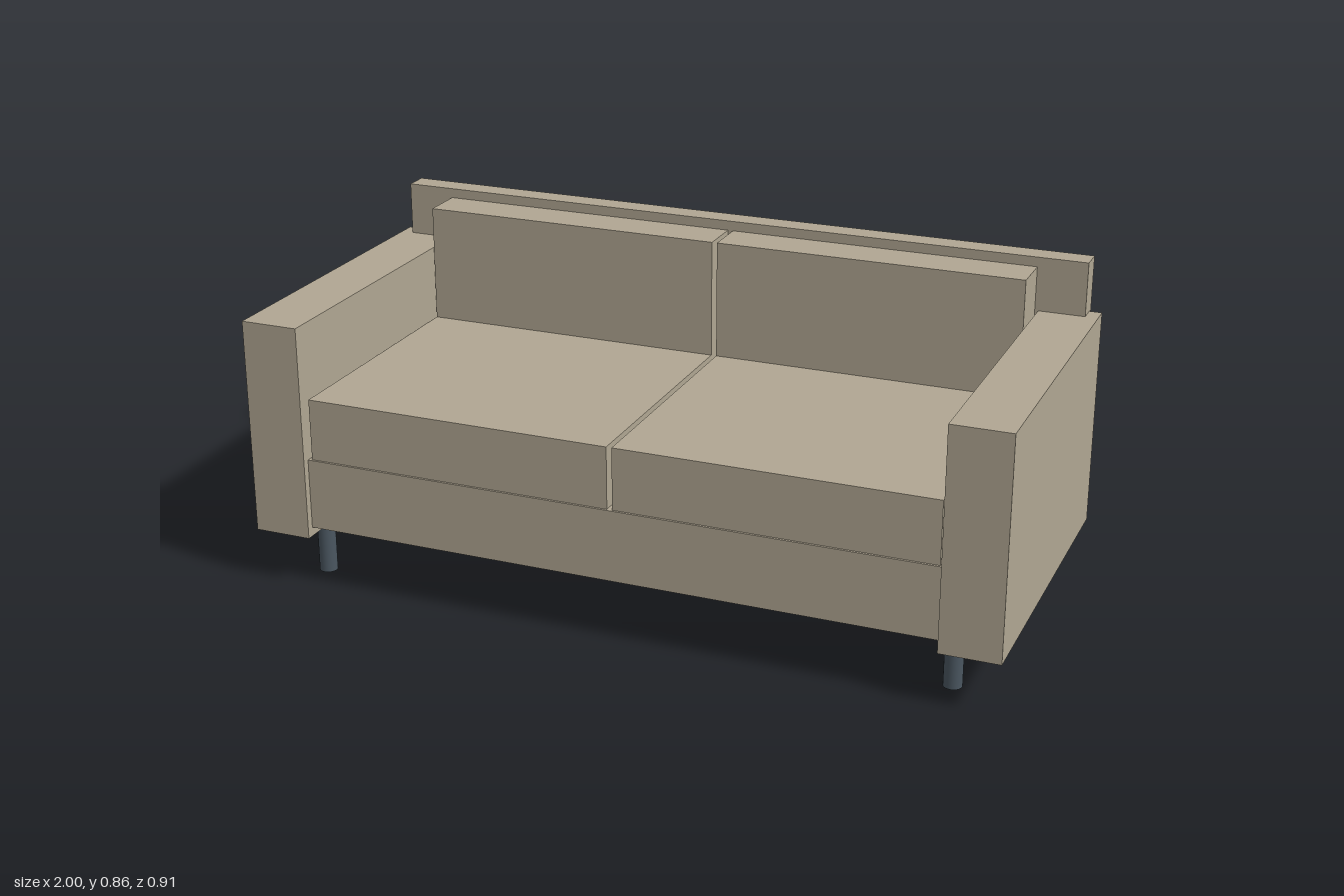
import * as THREE from 'three';

const fabric = new THREE.MeshStandardMaterial({ color: 0xb0a692 });
const metal = new THREE.MeshStandardMaterial({ color: 0x4a5660 });

// Box given by its lower and upper limits on each axis
function block(name, [x0, x1], [y0, y1], [z0, z1]) {
  const mesh = new THREE.Mesh(new THREE.BoxGeometry(x1 - x0, y1 - y0, z1 - z0), fabric);
  mesh.position.set((x0 + x1) / 2, (y0 + y1) / 2, (z0 + z1) / 2);
  mesh.name = name;
  return mesh;
}

export function createModel() {
  const sofa = new THREE.Group();
  sofa.name = 'sofa';

  // Base between the arms, and the back panel that overlaps them
  sofa.add(block('base', [-0.845, 0.845], [0.16, 0.35], [-0.42, 0.433]));
  sofa.add(block('backPanel', [-0.967, 0.967], [0.312, 0.857], [-0.453, -0.388]));

  const legGeometry = new THREE.CylinderGeometry(0.024, 0.024, 0.16, 24);
  for (const [side, s] of [['left', 1], ['right', -1]]) {
    const span = (a, b) => (s > 0 ? [a, b] : [-b, -a]);

    // Arm, seat cushion and back cushion, with narrow gaps around the cushions
    sofa.add(block(side + 'Arm', span(0.845, 1), [0.136, 0.714], [-0.435, 0.453]));
    sofa.add(block(side + 'SeatCushion', span(0.007, 0.836), [0.35, 0.515], [-0.388, 0.427]));
    sofa.add(block(side + 'BackCushion', span(0.007, 0.836), [0.515, 0.831], [-0.388, -0.27]));

    // Round legs
    for (const [end, z] of [['Front', 0.343], ['Back', -0.326]]) {
      const leg = new THREE.Mesh(legGeometry, metal);
      leg.position.set(s * 0.858, 0.08, z);
      leg.name = side + end + 'Leg';
      sofa.add(leg);
    }
  }
  return sofa;
}
